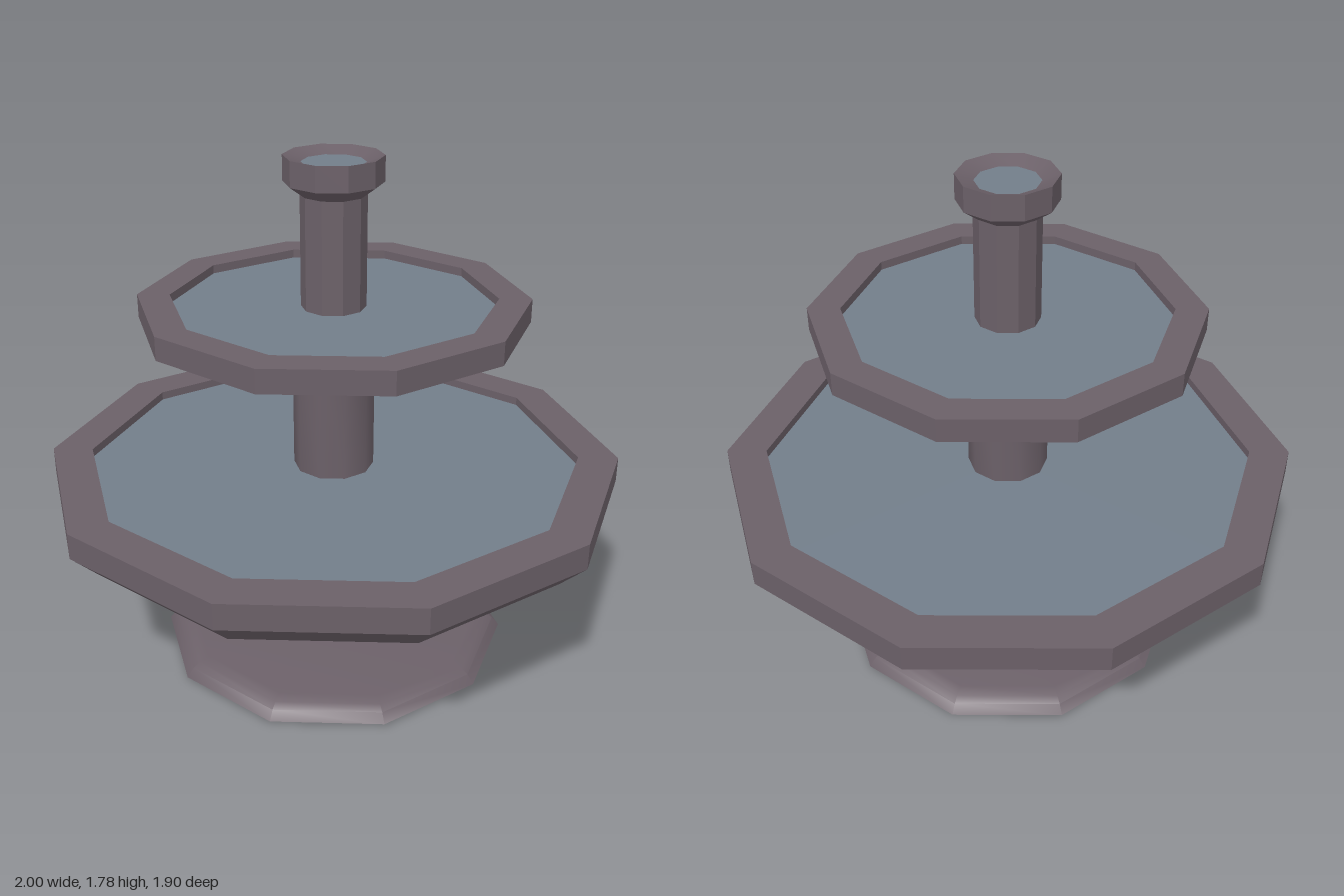
import * as THREE from 'three';
import { toCreasedNormals } from 'three/addons/utils/BufferGeometryUtils.js';

const SIDES = 10;
const SHARP = 0.52; // facets stay crisp
const SOFT = 0.75; // neighbouring facets blend

export function createModel() {
  const fountain = new THREE.Group();
  fountain.name = 'tieredFountain';
  const stone = new THREE.MeshStandardMaterial({ color: 0x6b6068 });
  const water = new THREE.MeshStandardMaterial({ color: 0x727e8a });

  // Ten-sided turned stone part; profile of [radius, height] runs from the bottom up
  function turned(name, profile, crease = SHARP) {
    const points = profile.map(([r, y]) => new THREE.Vector2(r, y));
    const lathe = new THREE.LatheGeometry(points, SIDES, Math.PI / 2);
    const mesh = new THREE.Mesh(toCreasedNormals(lathe, crease), stone);
    mesh.name = name;
    fountain.add(mesh);
  }

  function pool(name, radius, y) {
    const mesh = new THREE.Mesh(new THREE.CircleGeometry(radius, SIDES), water);
    mesh.name = name;
    mesh.rotation.x = -Math.PI / 2;
    mesh.position.y = y;
    fountain.add(mesh);
  }

  // Foot and pedestal
  turned('base', [[0, 0], [0.62, 0.01], [0.595, 0.04], [0.57, 0.055], [0.53, 0.062], [0.22, 0.072]]);
  turned('pedestal', [[0.22, 0.07], [0.22, 0.345]]);
  turned('pedestalCollar', [[0.22, 0.34], [0.3, 0.342], [0.335, 0.37], [0.36, 0.42], [0.365, 0.475]], SOFT);

  // Large lower basin
  turned('lowerBasin', [
    [0.36, 0.472], [0.71, 0.505], [0.91, 0.54], [1, 0.63], [1, 0.72], [0.86, 0.72], [0.86, 0.685],
  ]);
  pool('lowerWater', 0.862, 0.69);

  // Small upper basin
  turned('middleColumn', [[0.14, 0.685], [0.14, 1.16]], SOFT);
  turned('upperBasin', [
    [0.135, 1.152], [0.49, 1.175], [0.66, 1.225], [0.66, 1.305], [0.55, 1.305], [0.55, 1.27],
  ]);
  pool('upperWater', 0.552, 1.275);

  // Spout with its little cup
  turned('topColumn', [[0.11, 1.27], [0.11, 1.66]]);
  turned('spoutCup', [[0.11, 1.655], [0.165, 1.695], [0.165, 1.78], [0.105, 1.757]]);
  pool('spoutWater', 0.106, 1.758);

  return fountain;
}
